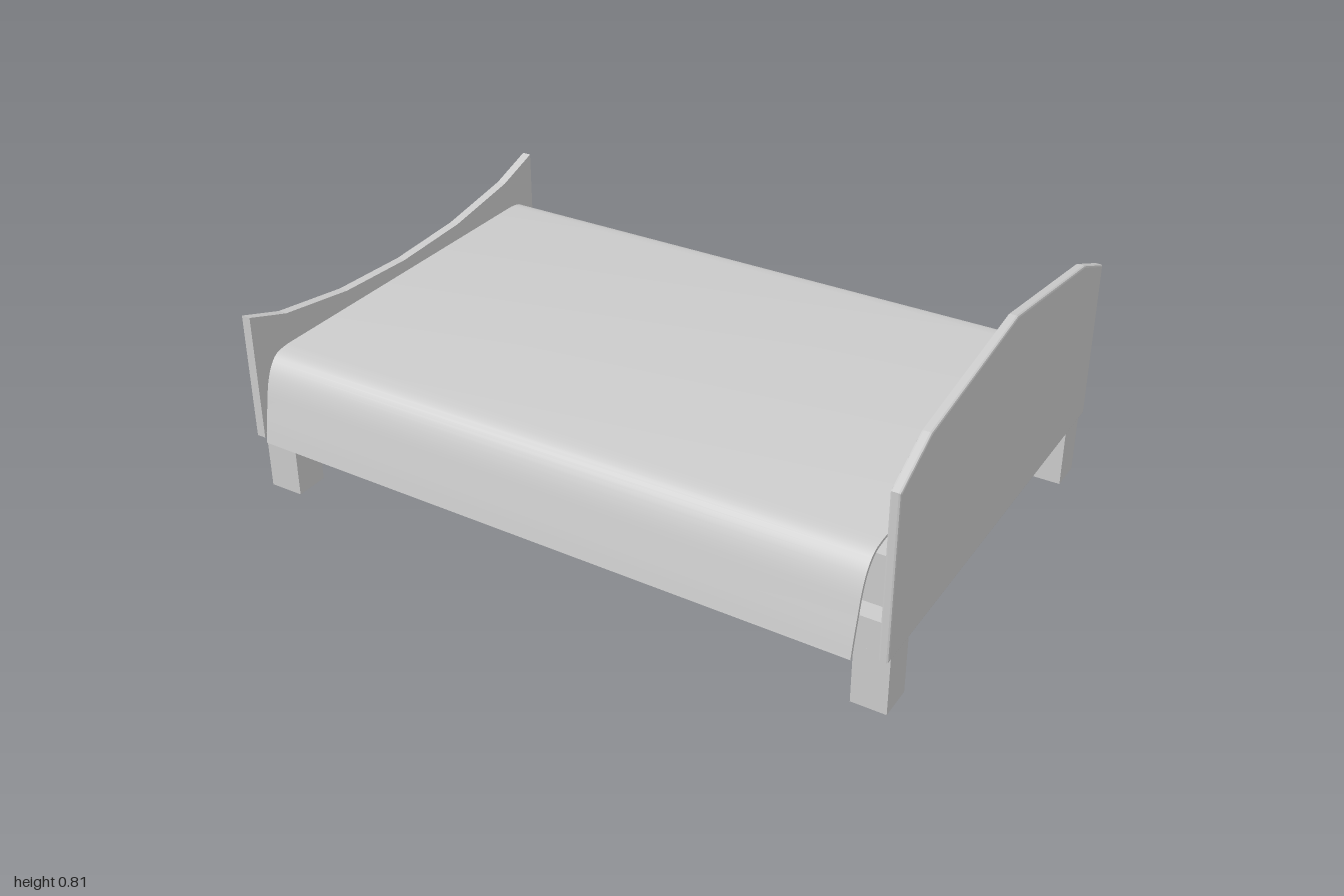
import * as THREE from 'three';
import { toCreasedNormals } from 'three/addons/utils/BufferGeometryUtils.js';

const grey = new THREE.MeshStandardMaterial({ color: 0xcccccc });
const MID = -0.01; // centre line of the bed frame in z

function add(parent, name, geometry) {
  const mesh = new THREE.Mesh(geometry, grey);
  mesh.name = name;
  parent.add(mesh);
  return mesh;
}

// Box given by its limits on each axis
function box(parent, name, [x0, x1], [y0, y1], [z0, z1]) {
  const mesh = add(parent, name, new THREE.BoxGeometry(x1 - x0, y1 - y0, z1 - z0));
  mesh.position.set((x0 + x1) / 2, (y0 + y1) / 2, (z0 + z1) / 2);
  return mesh;
}

// Outline drawn in (z, y), extruded along x from x0 to x1
function slab(points, x0, x1, bevel = 0) {
  const shape = new THREE.Shape(points.map(([z, y]) => new THREE.Vector2(z, y)));
  const geometry = new THREE.ExtrudeGeometry(shape, {
    depth: x1 - x0 - 2 * bevel,
    bevelEnabled: bevel > 0,
    bevelThickness: bevel, bevelSize: bevel, bevelOffset: -bevel, bevelSegments: 2,
  });
  geometry.rotateY(-Math.PI / 2);
  geometry.translate(x1 - bevel, 0, 0);
  return geometry;
}

export function createModel() {
  const bed = new THREE.Group();
  bed.name = 'bed';

  // Headboard with a faceted arch and softened edges
  add(bed, 'headboard', slab([
    [-0.685, 0.18], [0.665, 0.18], [0.665, 0.665], [0.505, 0.742],
    [-0.01, 0.81], [-0.52, 0.732], [-0.685, 0.665],
  ], 0.968, 0.996, 0.006));

  // Footboard dipping towards the middle
  add(bed, 'footboard', slab([
    [-0.688, 0.18], [0.662, 0.18], [0.662, 0.57], [0.52, 0.52], [0.26, 0.478],
    [-0.01, 0.465], [-0.28, 0.478], [-0.54, 0.52], [-0.688, 0.57],
  ], -1, -0.972));

  // Legs and side rails, mirrored about the centre line
  for (const s of [-1, 1]) {
    const span = (a, b) => [MID + s * a, MID + s * b].sort((p, q) => p - q);
    box(bed, 'footLeg', [-0.99, -0.885], [0, 0.18], span(0.545, 0.647));
    box(bed, 'headLeg', [0.89, 0.99], [0, 0.18], span(0.545, 0.647));
    box(bed, 'sideRail', [-0.972, 0.97], [0.18, 0.27], span(0.575, 0.647));
  }
  // End rails between the side rails
  box(bed, 'footRail', [-0.972, -0.93], [0.18, 0.26], [MID - 0.575, MID + 0.575]);
  box(bed, 'headRail', [0.93, 0.97], [0.18, 0.26], [MID - 0.575, MID + 0.575]);

  // Slats under the mattress
  const slats = new THREE.Group();
  slats.name = 'slats';
  bed.add(slats);
  const count = 20, pitch = 1.84 / count;
  for (let i = 0; i < count; i++) {
    const x = -0.92 + (i + 0.5) * pitch;
    box(slats, 'slat', [x - 0.036, x + 0.036], [0.21, 0.235], [MID - 0.58, MID + 0.58]);
  }

  box(bed, 'mattress', [-0.95, 0.955], [0.235, 0.42], [MID - 0.59, MID + 0.59]);

  // Blanket: a thin sheet draped over both long sides
  const drape = new THREE.CatmullRomCurve3([
    [0.545, 0.439], [0.59, 0.431], [0.625, 0.402], [0.65, 0.355],
    [0.669, 0.285], [0.684, 0.225], [0.694, 0.176],
  ].map(([z, y]) => new THREE.Vector3(z, y, 0))).getPoints(18);
  const side = drape.map((p) => [p.x, p.y]);
  const outer = [...side].reverse().concat(side.map(([z, y]) => [-z, y]));
  const inner = outer.map(([z, y]) => [z * 0.988, y > 0.19 ? y - 0.008 : y]).reverse();
  const blanket = slab([...outer, ...inner], -0.955, 0.91);
  // Front hem is drawn in a little towards the foot
  const pos = blanket.attributes.position;
  for (let i = 0; i < pos.count; i++) {
    const z = pos.getZ(i), x = pos.getX(i);
    if (z > 0.6 && x < 0) pos.setZ(i, z - 0.2 * (z - 0.6));
  }
  add(bed, 'blanket', toCreasedNormals(blanket, 0.6));

  return bed;
}
